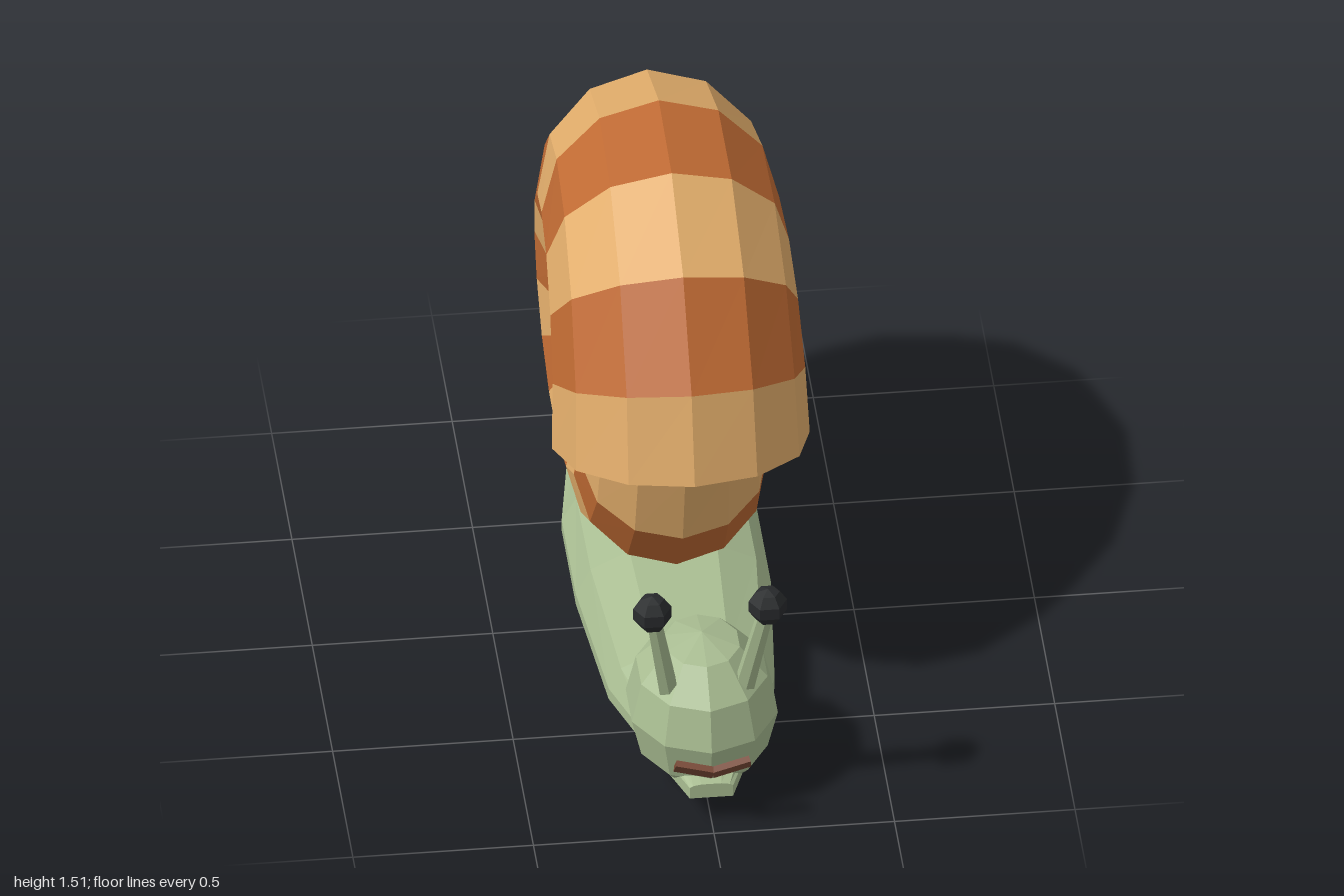
import * as THREE from 'three';

const paint = (color, side = THREE.FrontSide) =>
  new THREE.MeshStandardMaterial({ color, side, flatShading: true });

const GREEN = paint(0xa9bd92);
const BLACK = paint(0x292b2d);
const BROWN = paint(0x7a4a36);
const TAN = paint(0xe2ad6b, THREE.DoubleSide);
const ORANGE = paint(0xbf6a33, THREE.DoubleSide);

function add(parent, name, geometry, material) {
  const mesh = new THREE.Mesh(geometry, material);
  mesh.name = name;
  parent.add(mesh);
  return mesh;
}

// Joins closed rings of points; keep(i) chooses which bands are built.
function loft(rings, { keep = () => true, caps = false } = {}) {
  const pos = [];
  const tri = (...pts) => pts.forEach((p) => pos.push(p.x, p.y, p.z));
  const n = rings[0].length;
  for (let i = 0; i < rings.length - 1; i++) {
    if (!keep(i)) continue;
    for (let j = 0; j < n; j++) {
      const k = (j + 1) % n;
      const a = rings[i][j], b = rings[i][k], c = rings[i + 1][k], d = rings[i + 1][j];
      tri(a, b, c);
      tri(a, c, d);
    }
  }
  if (caps) {
    const s = rings[0], e = rings[rings.length - 1];
    for (let j = 1; j < n - 1; j++) {
      tri(s[0], s[j + 1], s[j]);
      tri(e[0], e[j], e[j + 1]);
    }
  }
  const g = new THREE.BufferGeometry();
  g.setAttribute('position', new THREE.Float32BufferAttribute(pos, 3));
  g.computeVertexNormals();
  return g;
}

// Coiled shell: a shrinking tube along a three-turn flat spiral
function shellRings() {
  const steps = 46, sides = 12;
  const size = (i) => 1 - 0.9 * (i / steps);
  const centre = (i) => {
    const a = (i / steps) * Math.PI * 6, r = 0.475 * size(i);
    return new THREE.Vector3(0, 0.755 + r * Math.sin(a), -0.29 + r * Math.cos(a));
  };
  const rings = [];
  for (let i = 0; i <= steps; i++) {
    const c = centre(i);
    const t = centre(Math.min(i + 1, steps)).sub(centre(Math.max(i - 1, 0))).normalize();
    const out = new THREE.Vector3(0, -t.z, t.y);
    const ring = [];
    for (let j = 0; j < sides; j++) {
      const f = (j / sides) * Math.PI * 2, r = 0.357 * size(i);
      const p = c.clone().addScaledVector(out, r * Math.cos(f));
      p.x += r * Math.sin(f);
      ring.push(p);
    }
    rings.push(ring);
  }
  return rings;
}

// Foot: flat sole, short upright rim and bevelled back
function footRings() {
  const sections = [ // z, half width, crest height
    [0.94, 0.06, 0.13], [0.72, 0.14, 0.17], [0.45, 0.23, 0.23], [0.0, 0.27, 0.255],
    [-0.35, 0.27, 0.24], [-0.65, 0.22, 0.21], [-0.82, 0.14, 0.185], [-1.0, 0.05, 0.12],
  ];
  return sections.map(([z, w, top]) => {
    const rim = Math.min(0.12, top - 0.005);
    const half = [[w, 0.085], [w, rim], [0.85 * w, rim + 0.6 * (top - rim)], [0.45 * w, top]];
    return [
      ...half.map(([x, y]) => new THREE.Vector3(-x, y, z)),
      ...half.reverse().map(([x, y]) => new THREE.Vector3(x, y, z)),
    ];
  });
}

export function createModel() {
  const model = new THREE.Group();
  model.name = 'snail';

  // Shell in alternating stripes
  const shell = new THREE.Group();
  shell.name = 'shell';
  model.add(shell);
  const rings = shellRings();
  add(shell, 'lightStripes', loft(rings, { keep: (i) => i % 2 === 0 }), TAN);
  add(shell, 'darkStripes', loft(rings, { keep: (i) => i % 2 === 1 }), ORANGE);

  // Body
  add(model, 'foot', loft(footRings(), { caps: true }), GREEN);
  const head = add(model, 'head', new THREE.SphereGeometry(0.25, 10, 6).rotateY(Math.PI / 2), GREEN);
  head.scale.set(0.85, 0.94, 1);
  head.position.set(0, 0.24, 0.7);

  // Eye stalks, eyes and the two halves of the mouth
  for (const [side, s] of [['left', 1], ['right', -1]]) {
    const base = new THREE.Vector3(s * 0.105, 0.37, 0.815);
    const tip = new THREE.Vector3(s * 0.16, 0.7, 0.906);
    const dir = tip.clone().sub(base);
    const stalk = add(model, side + 'EyeStalk', new THREE.CylinderGeometry(0.022, 0.03, dir.length(), 6), GREEN);
    stalk.position.copy(base).lerp(tip, 0.5);
    stalk.quaternion.setFromUnitVectors(new THREE.Vector3(0, 1, 0), dir.normalize());

    add(model, side + 'Eye', new THREE.SphereGeometry(0.056, 6, 5), BLACK).position.copy(tip);

    const mouth = add(model, side + 'Mouth', new THREE.BoxGeometry(0.108, 0.045, 0.018), BROWN);
    mouth.geometry.rotateX(0.6);
    mouth.position.set(s * 0.051, 0.207, 0.972);
    mouth.rotation.set(0, s * 0.12, s * 0.2);
  }
  return model;
}
